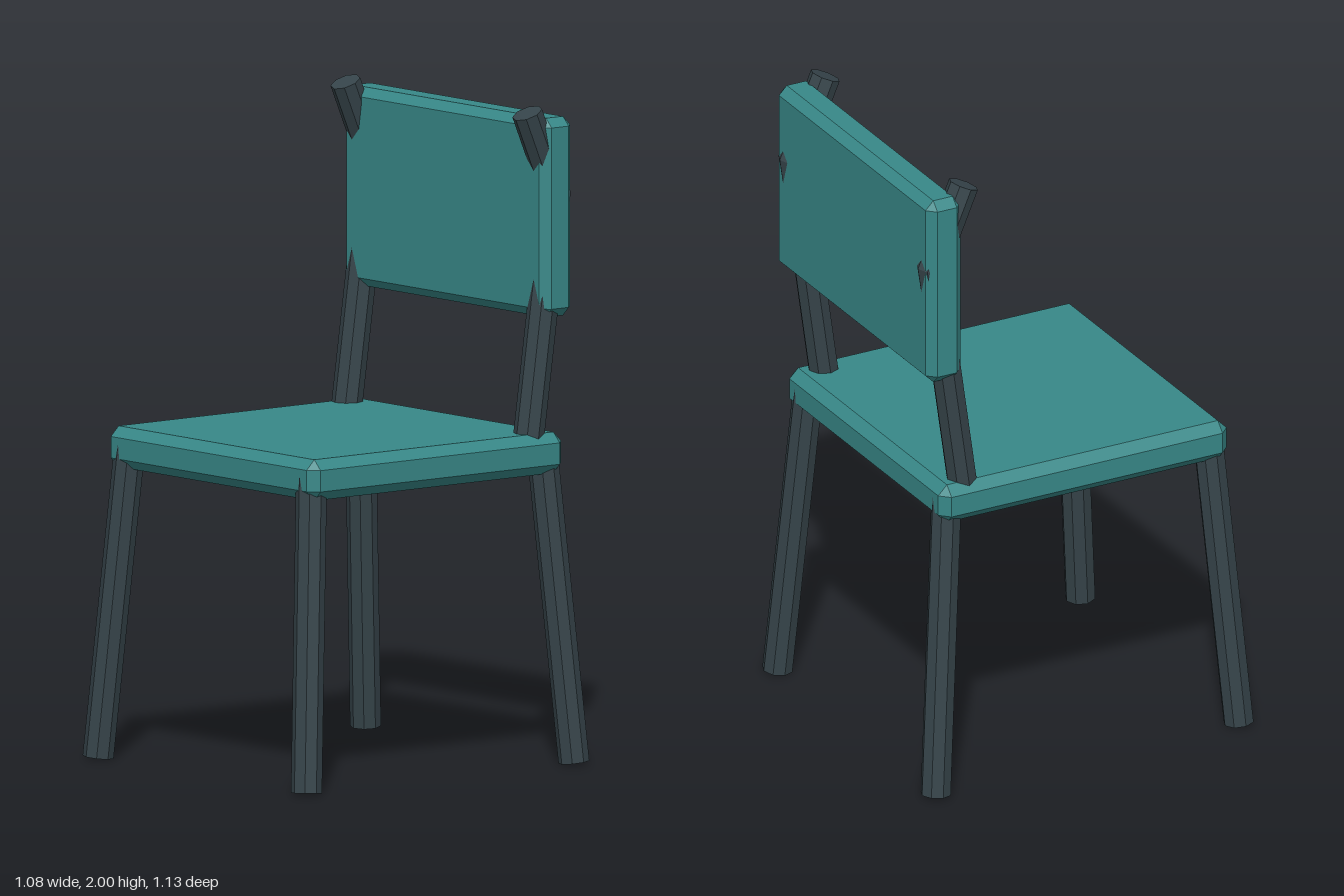
import * as THREE from 'three';
import { ConvexGeometry } from 'three/addons/geometries/ConvexGeometry.js';

const RADIUS = 0.047;
const SIDES = 8;

// Box with every edge and corner cut by a flat chamfer
function chamferedBox(w, h, d, c) {
  const points = [];
  for (const sx of [-1, 1]) for (const sy of [-1, 1]) for (const sz of [-1, 1]) {
    const x = w / 2, y = h / 2, z = d / 2;
    points.push(
      new THREE.Vector3(sx * x, sy * (y - c), sz * (z - c)),
      new THREE.Vector3(sx * (x - c), sy * y, sz * (z - c)),
      new THREE.Vector3(sx * (x - c), sy * (y - c), sz * z)
    );
  }
  return new ConvexGeometry(points);
}

function faceted(geometry) {
  const flat = geometry.toNonIndexed();
  flat.computeVertexNormals();
  return flat;
}

// Straight eight-sided bar between two points
function bar(from, to) {
  const dir = to.clone().sub(from);
  const geo = new THREE.CylinderGeometry(RADIUS, RADIUS, dir.length(), SIDES);
  const turn = new THREE.Quaternion().setFromUnitVectors(new THREE.Vector3(0, 1, 0), dir.normalize());
  geo.applyQuaternion(turn);
  const mid = from.clone().add(to).multiplyScalar(0.5);
  geo.translate(mid.x, mid.y, mid.z);
  return faceted(geo);
}

// Bar with one mitred bend in the y-z plane; points are [y, z]
function bentBar(x, low, bend, high) {
  const a = Math.atan2(bend[1] - low[1], bend[0] - low[0]);
  const b = Math.atan2(high[1] - bend[1], high[0] - bend[0]);
  const mitre = 1 / Math.cos((b - a) / 2);
  const rings = [[low, a, 1], [bend, (a + b) / 2, mitre], [high, b, 1]];
  const geo = new THREE.CylinderGeometry(RADIUS, RADIUS, 1, SIDES, 2);
  const pos = geo.attributes.position;
  for (let i = 0; i < pos.count; i++) {
    const [centre, tilt, stretch] = rings[Math.round((pos.getY(i) + 0.5) * 2)];
    const z = pos.getZ(i) * stretch;
    pos.setXYZ(i, pos.getX(i) + x, centre[0] - z * Math.sin(tilt), centre[1] + z * Math.cos(tilt));
  }
  return faceted(geo);
}

export function createModel() {
  const model = new THREE.Group();
  model.name = 'chair';

  const teal = new THREE.MeshStandardMaterial({ color: 0x388888 });
  teal.name = 'teal panel';
  const charcoal = new THREE.MeshStandardMaterial({ color: 0x36444a });
  charcoal.name = 'charcoal frame';

  const add = (name, geometry, material) => {
    const mesh = new THREE.Mesh(geometry, material);
    mesh.name = name;
    model.add(mesh);
    return mesh;
  };

  // Panels
  add('seat', chamferedBox(0.99, 0.125, 0.99, 0.03), teal).position.set(0, 0.9475, 0);
  add('backrest', chamferedBox(0.97, 0.605, 0.12, 0.027), teal).position.set(0, 1.6625, -0.475);

  for (const sx of [-1, 1]) {
    const side = sx > 0 ? 'left' : 'right';
    // Splayed legs
    for (const sz of [-1, 1]) {
      const foot = new THREE.Vector3(sx * 0.495, 0.005, sz * 0.52);
      const top = new THREE.Vector3(sx * 0.431, 0.96, sz * 0.448);
      add(`${side}${sz > 0 ? 'Front' : 'Back'}Leg`, bar(foot, top), charcoal);
    }
    // Backrest posts, leaning back and then bending forward through the panel
    add(`${side}BackPost`, bentBar(sx * 0.432, [0.93, -0.386], [1.729, -0.498], [1.982, -0.39]), charcoal);
  }

  return model;
}
